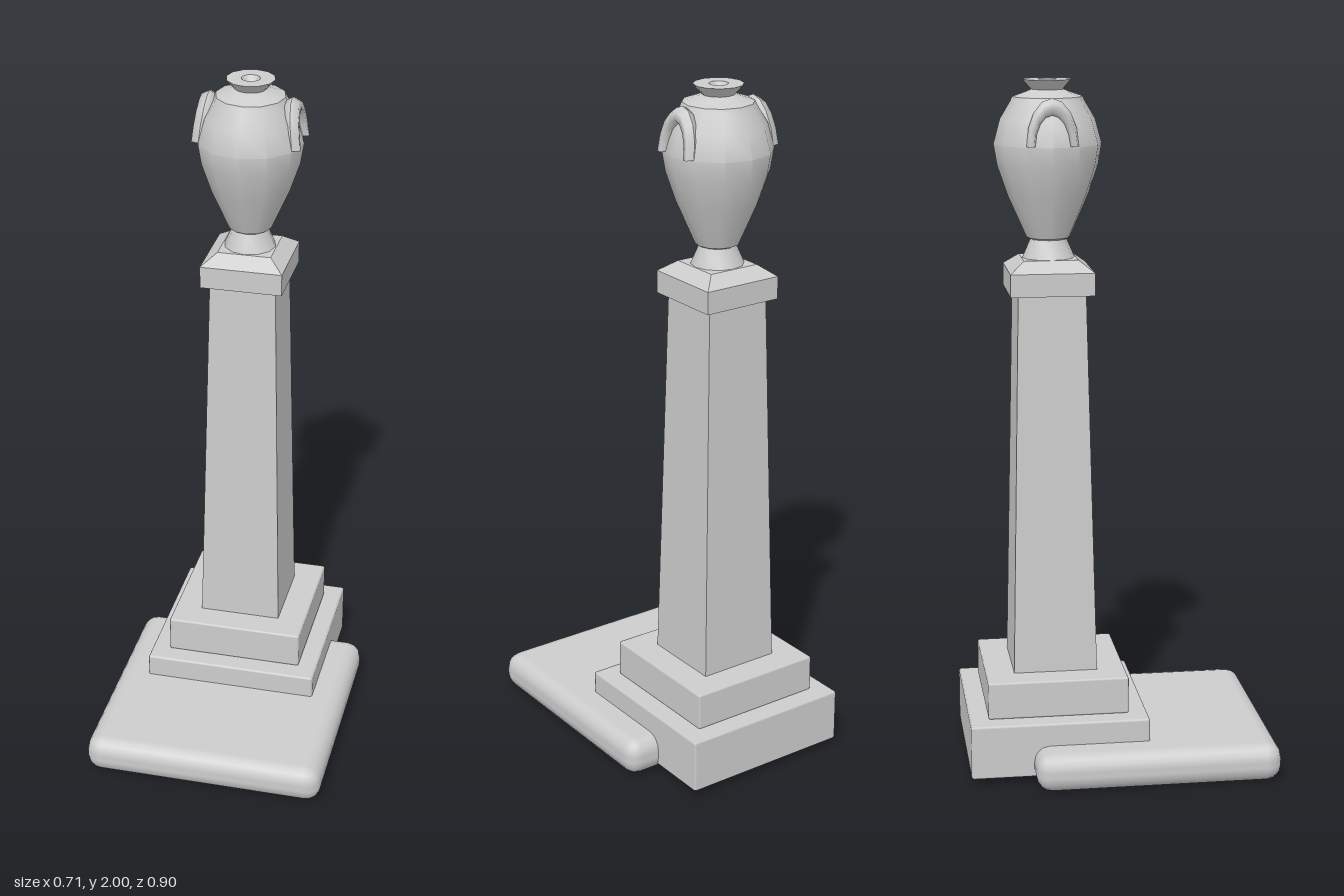
import * as THREE from 'three';
import { toCreasedNormals } from 'three/addons/utils/BufferGeometryUtils.js';
import { RoundedBoxGeometry } from 'three/addons/geometries/RoundedBoxGeometry.js';

export function createModel() {
  const group = new THREE.Group();
  group.name = 'urnMonument';
  const stone = new THREE.MeshStandardMaterial({ color: 0xcccccc });
  stone.name = 'pale grey stone';
  const axisZ = -0.19; // z of the column axis

  function add(name, geometry, x, y, z) {
    const mesh = new THREE.Mesh(geometry, stone);
    mesh.name = name;
    mesh.position.set(x, y, z);
    group.add(mesh);
    return mesh;
  }

  // Square tapered block given by half widths and its bottom and top heights
  function taper(name, bottom, top, y0, y1) {
    const g = new THREE.BoxGeometry(2, y1 - y0, 2);
    const p = g.attributes.position;
    for (let i = 0; i < p.count; i++) {
      const h = p.getY(i) > 0 ? top : bottom;
      p.setX(i, p.getX(i) * h);
      p.setZ(i, p.getZ(i) * h);
    }
    add(name, toCreasedNormals(g, 0.1), 0, (y0 + y1) / 2, axisZ);
  }

  // Ground slab and stepped base
  add('groundSlab', new RoundedBoxGeometry(0.715, 0.105, 0.715, 2, 0.045), 0, 0.0565, 0.0885).scale.y = 1.07;
  add('lowerStep', new RoundedBoxGeometry(0.52, 0.16, 0.52, 1, 0.007), 0, 0.1, axisZ);
  add('upperStep', new RoundedBoxGeometry(0.41, 0.11, 0.41, 1, 0.006), 0, 0.235, axisZ);

  // Obelisk shaft and capital
  taper('shaft', 0.122, 0.097, 0.285, 1.4);
  taper('capital', 0.12, 0.12, 1.4, 1.465);
  taper('capitalSlope', 0.12, 0.078, 1.465, 1.497);

  // Urn turned in twelve sides
  const profile = [
    [0, 1.495], [0.076, 1.495], [0.052, 1.55], [0.062, 1.555], [0.115, 1.675],
    [0.144, 1.76], [0.154, 1.82], [0.135, 1.89], [0.105, 1.94], [0.1, 1.952],
    [0.06, 1.966], [0.046, 1.972], [0.07, 2], [0.027, 2], [0.018, 1.985], [0, 1.978],
  ].map(([r, y]) => new THREE.Vector2(r, y));
  add('urn', toCreasedNormals(new THREE.LatheGeometry(profile, 12), 0.62), 0, 0, axisZ);

  // Broad arched handles on both shoulders, leaning inward at the top
  for (const side of [-1, 1]) {
    const g = new THREE.TorusGeometry(0.06, 0.013, 6, 8, Math.PI);
    g.rotateY(Math.PI / 2);
    g.scale(1.9, 1.8, 1);
    const p = g.attributes.position;
    for (let i = 0; i < p.count; i++) p.setX(i, p.getX(i) - side * p.getY(i) * 0.12);
    g.computeVertexNormals();
    add(side > 0 ? 'leftHandle' : 'rightHandle', g, side * 0.134, 1.823, axisZ);
  }
  return group;
}
